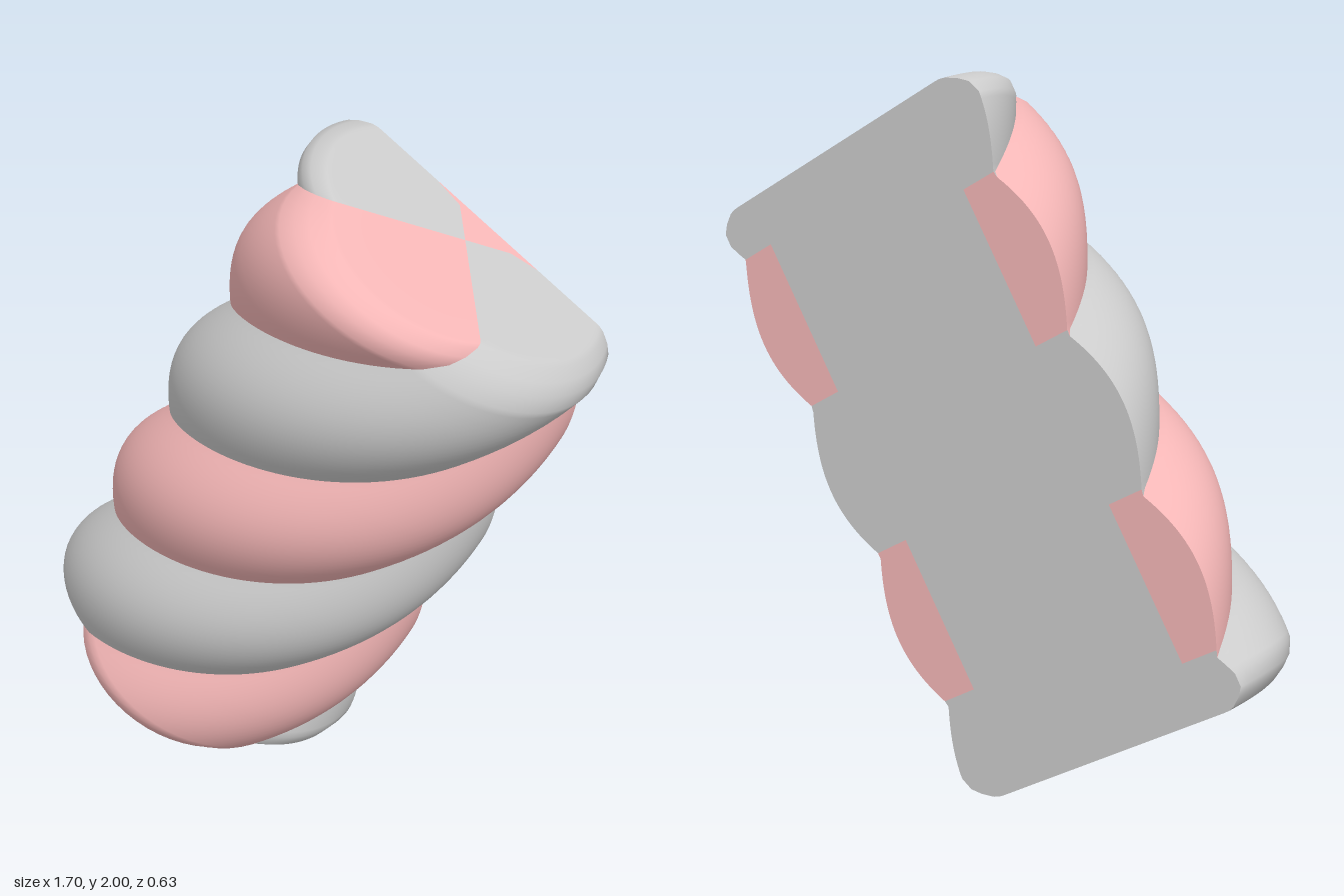
import * as THREE from 'three';

const TILT = 0.512;      // lean of the twist axis
const CUT = 0.115;       // distance of the flat back behind the axis
const PITCH = 1.837;     // axial length of one full turn
const QUARTER = Math.PI / 2;
const PINK = 0xf4b6b6, GREY = 0xcccccc;

// Four-lobed outline: radius at an angle measured from a lobe centre
function lobeRadius(angle) {
  const a = angle - Math.round(angle / QUARTER) * QUARTER;
  const d = 0.16, r = 0.355;
  return d * Math.cos(a) + Math.sqrt(r * r - (d * Math.sin(a)) ** 2);
}

// Rows along the axis: height and outline scale, with rounded ends
function makeRows() {
  const end = [
    [0.905, 0], [0.905, 0.12], [0.905, 0.223], [0.905, 0.24], [0.905, 0.3], [0.905, 0.45],
    [0.905, 0.65], [0.905, 0.8], [0.904, 0.83], [0.899, 0.86], [0.88, 0.92], [0.857, 0.97], [0.82, 1],
  ];
  const rows = end.map(([s, k]) => [-s, k]);
  const n = 90;
  for (let i = 1; i < n; i++) rows.push([-0.82 + 1.64 * i / n, 1]);
  rows.push(...end.reverse());
  return rows.map(([s, scale]) => {
    const turn = 2 * Math.PI * s / PITCH;
    const radius = phi => scale * lobeRadius(phi - turn);
    // Angle at which the outline meets the flat back, on one side
    const limit = side => {
      const f = p => radius(side * p) * Math.cos(p) + CUT;
      if (f(Math.PI) >= 0) return side * Math.PI;
      let lo = QUARTER, hi = Math.PI;
      for (let i = 0; i < 40; i++) {
        const mid = (lo + hi) / 2;
        if (f(mid) > 0) lo = mid; else hi = mid;
      }
      return side * lo;
    };
    return { s, turn, radius, left: limit(-1), right: limit(1) };
  });
}

// Surface through a grid of points, skipping collapsed triangles
function gridMesh(grid, color, name, flip = false, keep = () => true) {
  const w = grid[0].length, pts = grid.flat(), index = [];
  const add = (a, b, c) => {
    const area = new THREE.Triangle(pts[a], pts[b], pts[c]).getArea();
    if (area > 1e-8) index.push(...(flip ? [a, c, b] : [a, b, c]));
  };
  for (let j = 0; j < grid.length - 1; j++) {
    if (!keep(j)) continue;
    for (let i = 0; i < w - 1; i++) {
      const a = j * w + i;
      add(a, a + 1, a + w + 1);
      add(a, a + w + 1, a + w);
    }
  }
  const geo = new THREE.BufferGeometry().setFromPoints(pts);
  geo.setIndex(index);
  geo.computeVertexNormals();
  const mesh = new THREE.Mesh(geo, new THREE.MeshStandardMaterial({ color }));
  mesh.name = name;
  return mesh;
}

export function createModel() {
  const group = new THREE.Group();
  group.name = 'twistedMarshmallow';
  const body = new THREE.Group();
  body.name = 'twist';
  body.rotation.z = -TILT;
  body.position.set(0, 1, -0.2);
  group.add(body);
  const rows = makeRows();

  // Spiral strands, alternating pink and grey, including their end caps
  for (let k = -4; k <= 4; k++) {
    const grid = rows.map(({ s, turn, radius, left, right }) => {
      const mid = turn + k * QUARTER;
      const a = THREE.MathUtils.clamp(mid - QUARTER / 2, left, right);
      const b = THREE.MathUtils.clamp(mid + QUARTER / 2, left, right);
      return Array.from({ length: 21 }, (_, i) => {
        const phi = a + (b - a) * i / 20;
        // Stay just inside this strand so the valley radius is exact
        const r = radius(phi);
        return new THREE.Vector3(r * Math.sin(phi), s, r * Math.cos(phi));
      });
    });
    body.add(gridMesh(grid, k % 2 ? GREY : PINK, k % 2 ? 'greyStrand' : 'pinkStrand'));
  }

  // Flat back: a grey core with strand-coloured edges
  const core = 0.33;
  const edge = (row, phi) => row.radius(phi) * Math.sin(phi);
  const point = (x, s) => new THREE.Vector3(x, s, -CUT);
  const clampCore = x => THREE.MathUtils.clamp(x, -core, core);
  const coreGrid = rows.map(r =>
    [r.left, r.right].map(phi => point(clampCore(edge(r, phi)), r.s)));
  body.add(gridMesh(coreGrid, GREY, 'backCore', true));
  for (const side of ['left', 'right']) {
    const grid = rows.map(r => {
      const x = edge(r, r[side]);
      const pair = [point(clampCore(x), r.s), point(x, r.s)];
      return side === 'left' ? pair.reverse() : pair;
    });
    const isPink = j => Math.round((rows[j][side] - rows[j].turn) / QUARTER) % 2 === 0;
    body.add(gridMesh(grid, PINK, side + 'BackPinkEdge', true, isPink));
    body.add(gridMesh(grid, GREY, side + 'BackGreyEdge', true, j => !isPink(j)));
  }
  return group;
}
